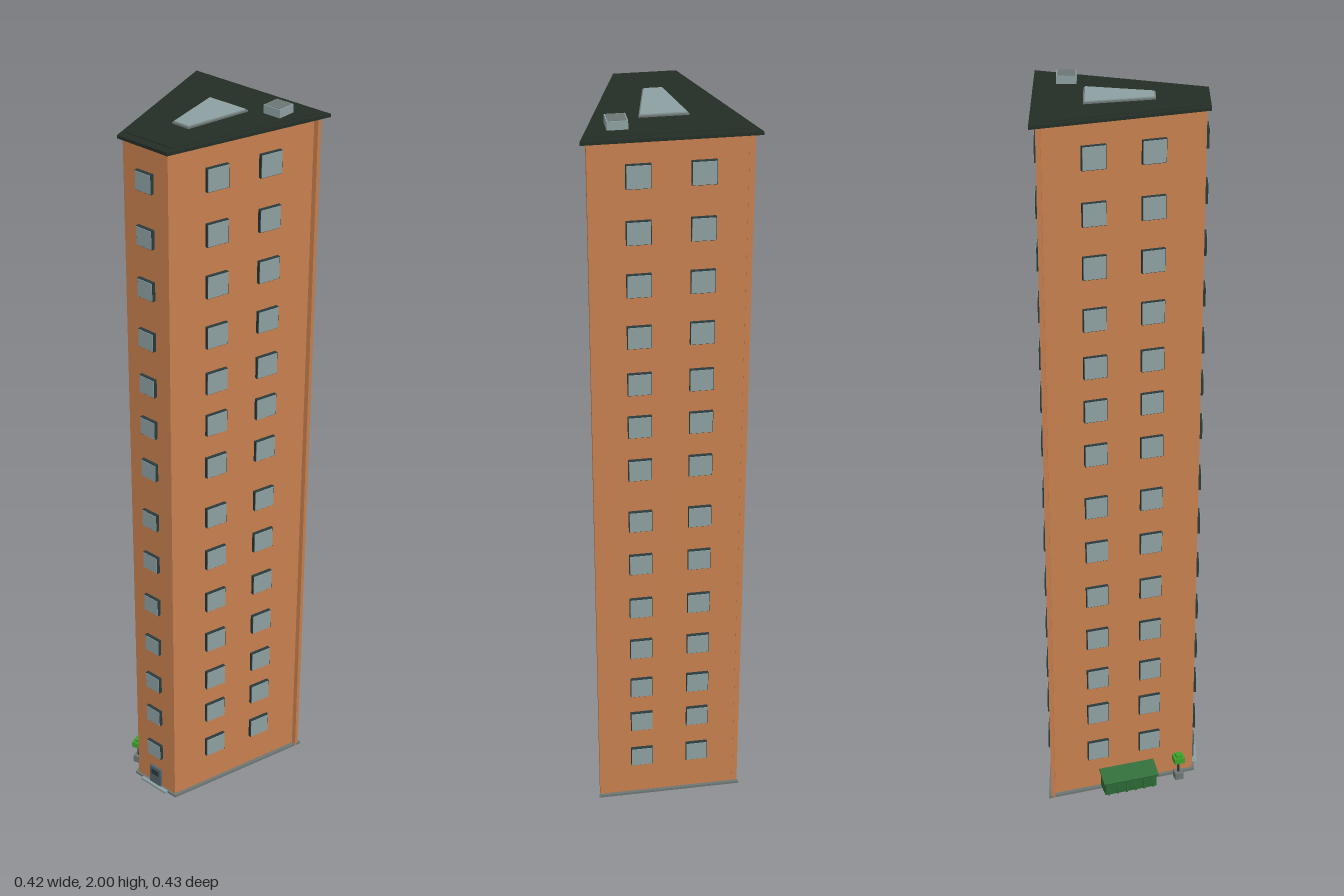
import * as THREE from 'three';

const mat = (name, color, side = THREE.FrontSide) => {
  const m = new THREE.MeshStandardMaterial({ color, side });
  m.name = name;
  return m;
};

const FRONT = 0.07, BACK = 0.187, DEPTH = 0.2, TOP = 1.968;
const FLOORS = [0.138, 0.265, 0.384, 0.517, 0.654, 0.795, 0.93, 1.086, 1.213, 1.335, 1.465, 1.603, 1.74, 1.881];

export function createModel() {
  const brick = mat('brick orange', 0xc67f4e, THREE.DoubleSide);
  const glass = mat('window grey', 0x8da0a1);
  const frame = mat('frame dark', 0x2a3a3c);
  const roofMat = mat('roof dark green', 0x232e25);
  const stone = mat('stone grey', 0x6c7674);
  const doorMat = mat('door slate', 0x55646b);
  const binMat = mat('bin green', 0x2d6b36);
  const leaf = mat('leaf green', 0x3fa22b);

  const model = new THREE.Group();
  model.name = 'towerBlock';

  const add = (parent, name, geometry, material, x = 0, y = 0, z = 0) => {
    const mesh = new THREE.Mesh(geometry, material);
    mesh.name = name;
    mesh.position.set(x, y, z);
    parent.add(mesh);
    return mesh;
  };
  const box = (parent, name, w, h, d, material, x, y, z) =>
    add(parent, name, new THREE.BoxGeometry(w, h, d), material, x, y, z);

  // Wedge-shaped plan: narrow at the front, wide at the back
  const outline = (f, b, zf, zb) =>
    [[-f, -zf], [f, -zf], [b, -zb], [-b, -zb]].map(p => new THREE.Vector2(...p));
  const slab = (name, plan, y, h, material, holePlan) => {
    const shape = new THREE.Shape(plan);
    if (holePlan) shape.holes.push(new THREE.Path(holePlan));
    const g = new THREE.ExtrudeGeometry(shape, { depth: h, bevelEnabled: false });
    g.rotateX(-Math.PI / 2);
    return add(model, name, g, material, 0, y, 0);
  };

  // A wall group: local z points outwards, local x runs along the wall
  const wall = (name, width, x, z, angle) => {
    const g = new THREE.Group();
    g.name = name;
    g.position.set(x, 0, z);
    g.rotation.y = angle;
    model.add(g);
    add(g, 'wallFace', new THREE.PlaneGeometry(width, TOP), brick, 0, TOP / 2, 0);
    return g;
  };
  const windows = (parent, columns, size) => {
    for (const y of FLOORS) for (const x of columns) {
      box(parent, 'windowFrame', size, size, 0.016, frame, x, y, 0.001);
      box(parent, 'windowPane', size - 0.003, size - 0.003, 0.002, glass, x, y, 0.0095);
    }
  };

  const run = BACK - FRONT;
  const sideWidth = Math.hypot(run, 2 * DEPTH);
  const sideAngle = Math.atan2(2 * DEPTH, run);
  const mid = (FRONT + BACK) / 2;

  const front = wall('frontWall', 2 * FRONT, 0, DEPTH, 0);
  windows(front, [0], 0.05);
  const back = wall('backWall', 2 * BACK, 0, -DEPTH, Math.PI);
  windows(back, [-0.077, 0.077], 0.06);
  const left = wall('leftWall', sideWidth, mid, 0, sideAngle);
  windows(left, [-0.077, 0.072], 0.06);
  const right = wall('rightWall', sideWidth, -mid, 0, -sideAngle);
  windows(right, [0.077, -0.072], 0.06);

  // Narrow piers at the rear corners
  for (const s of [-1, 1]) box(model, 'cornerPier', 0.014, TOP, 0.012, brick, s * 0.189, TOP / 2, -0.195);

  // Plinth ring around the foot, and the entrance
  slab('plinth', outline(0.077, 0.2, 0.206, -0.208), 0, 0.007, stone, outline(0.069, 0.186, 0.199, -0.199));
  box(front, 'door', 0.04, 0.066, 0.008, doorMat, 0, 0.035, 0.003);
  box(front, 'doorWindow', 0.026, 0.018, 0.002, frame, 0, 0.05, 0.0075);
  box(front, 'doorStep', 0.094, 0.007, 0.014, glass, 0, 0.0035, 0.008);

  // Roof with a slightly raised centre
  slab('roofSlab', outline(0.078, 0.212, 0.21, -0.216), TOP, 0.008, roofMat);
  slab('roofCentre', outline(0.07, 0.188, 0.186, -0.193), TOP + 0.008, 0.002, roofMat);

  // Skylight
  slab('skylightCurb', outline(0.025, 0.06, 0.08, -0.093), 1.978, 0.004, stone);
  slab('skylightGlass', outline(0.022, 0.056, 0.077, -0.089), 1.982, 0.003, glass);

  // Roof vent
  box(model, 'ventBox', 0.05, 0.024, 0.05, glass, 0.118, 1.987, -0.135);
  box(model, 'ventTop', 0.044, 0.002, 0.044, stone, 0.118, 1.999, -0.135);

  // Waste bin with a sloping lid beside the right wall
  const profile = new THREE.Shape([[0, 0.005], [0.046, 0.005], [0.05, 0.045], [0, 0.06]].map(p => new THREE.Vector2(...p)));
  const binGeo = new THREE.ExtrudeGeometry(profile, { depth: 0.15, bevelEnabled: false });
  binGeo.rotateY(-Math.PI / 2);
  add(right, 'binBody', binGeo, binMat, 0.086, 0, 0.002);
  const lid = box(right, 'binLid', 0.16, 0.004, 0.056, binMat, 0.011, 0.055, 0.028);
  lid.rotation.x = Math.atan2(0.015, 0.05);
  for (let i = 0; i < 6; i++)
    box(right, 'binRib', 0.005, 0.036, 0.006, binMat, -0.054 + i * 0.026, 0.024, 0.05);

  // Potted shrub near the front corner
  const shrub = new THREE.Group();
  shrub.name = 'pottedShrub';
  shrub.position.set(0.159, 0, 0.025);
  right.add(shrub);
  box(shrub, 'pot', 0.024, 0.022, 0.024, stone, 0, 0.011, 0);
  box(shrub, 'stem', 0.006, 0.04, 0.006, frame, 0, 0.04, 0);
  box(shrub, 'leaves', 0.03, 0.018, 0.028, leaf, 0, 0.067, 0);
  box(shrub, 'leafTop', 0.018, 0.008, 0.018, leaf, 0, 0.08, 0);

  return model;
}
